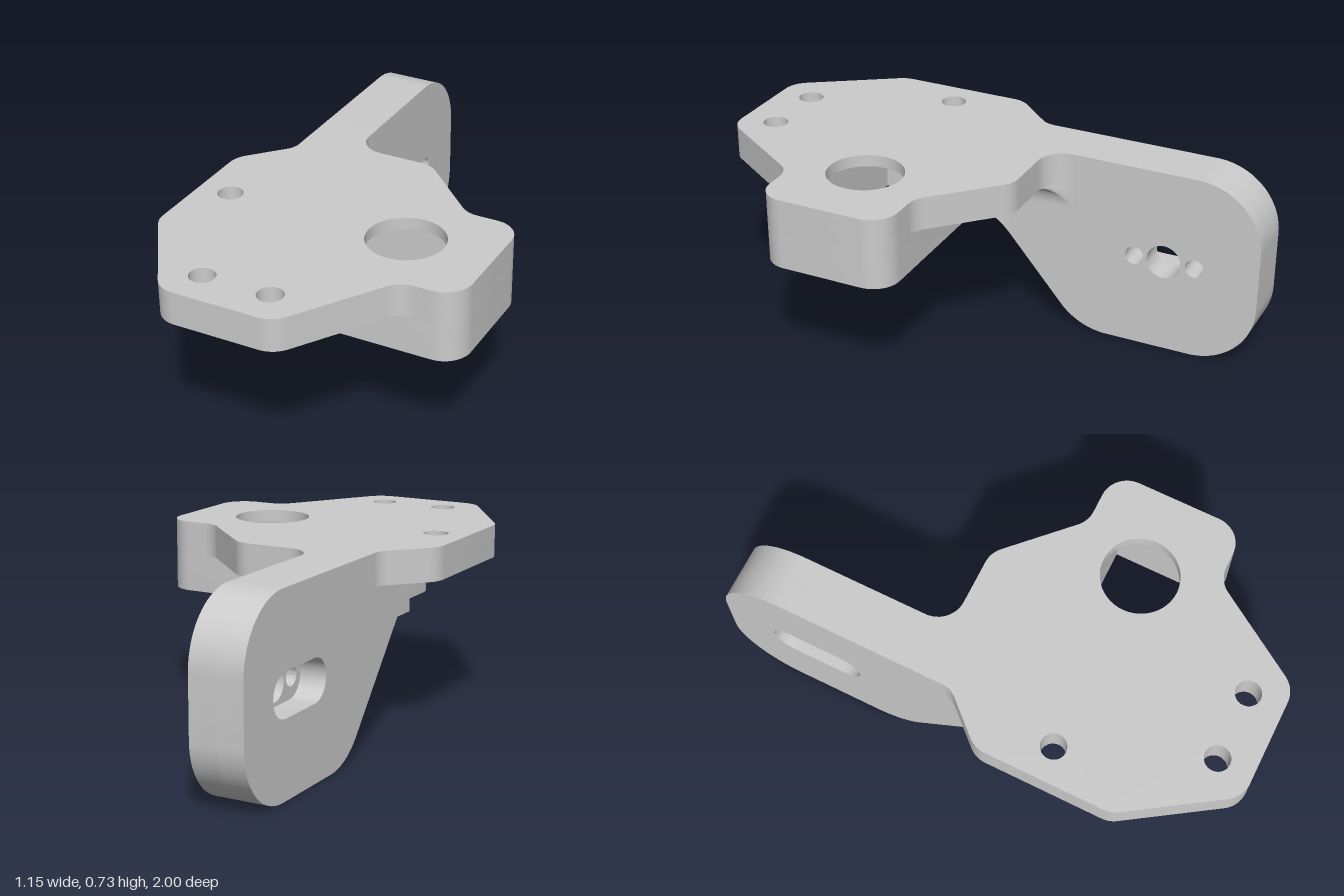
import * as THREE from 'three';
import { toCreasedNormals } from 'three/addons/utils/BufferGeometryUtils.js';

const material = new THREE.MeshStandardMaterial({ color: 0xcccccc });

// Polygon from [x, y, radius] corners, each rounded with a true arc
function rounded(corners, steps = 12) {
  const n = corners.length, pts = [];
  corners.forEach(([x, y, r = 0], i) => {
    const p = new THREE.Vector2(x, y);
    if (!r) { pts.push(p); return; }
    const a = corners[(i + n - 1) % n], b = corners[(i + 1) % n];
    const u = new THREE.Vector2(a[0], a[1]).sub(p).normalize();
    const v = new THREE.Vector2(b[0], b[1]).sub(p).normalize();
    const half = Math.acos(u.dot(v)) / 2, t = r / Math.tan(half);
    const c = u.clone().add(v).normalize().multiplyScalar(r / Math.sin(half)).add(p);
    const from = p.clone().addScaledVector(u, t).sub(c).angle();
    let turn = p.clone().addScaledVector(v, t).sub(c).angle() - from;
    if (turn > Math.PI) turn -= 2 * Math.PI;
    if (turn < -Math.PI) turn += 2 * Math.PI;
    for (let k = 0; k <= steps; k++) {
      const ang = from + turn * k / steps;
      pts.push(new THREE.Vector2(c.x + r * Math.cos(ang), c.y + r * Math.sin(ang)));
    }
  });
  return pts;
}

const circle = (x, y, r) => new THREE.Path().absarc(x, y, r, 0, Math.PI * 2, true);

function extrude(points, holes, depth) {
  const shape = new THREE.Shape(points);
  shape.holes = holes;
  return new THREE.ExtrudeGeometry(shape, { depth, bevelEnabled: false, curveSegments: 24 });
}

// Horizontal slab: outline in (x, -z), between two heights
const slab = (points, holes, y0, y1) =>
  extrude(points, holes, y1 - y0).rotateX(-Math.PI / 2).translate(0, y0, 0);

// Upright slab: outline in (-z, y), between two x positions
const upright = (points, holes, x0, x1) =>
  extrude(points, holes, x1 - x0).rotateY(Math.PI / 2).translate(x0, 0, 0);

// Move vertices by a rule
function reshape(geo, rule) {
  const pos = geo.attributes.position, v = new THREE.Vector3();
  for (let i = 0; i < pos.count; i++) {
    rule(v.fromBufferAttribute(pos, i));
    pos.setXYZ(i, v.x, v.y, v.z);
  }
  return geo;
}

// Concave fillet: drop from the wall at distance d from the corner
const R = 0.1, ARM_X = -0.215;
const cove = d => R - Math.sqrt(Math.max(0, R * R - (R - d) ** 2));
function coveSection(y, sign) {
  const flat = [], curve = [], n = 12;
  for (let k = 0; k <= n; k++) {
    const d = R * (1 - Math.cos(k / n * Math.PI / 2));
    flat.push(new THREE.Vector2(ARM_X + d, y));
    if (k < n) curve.unshift(new THREE.Vector2(ARM_X + d, y + sign * cove(d)));
  }
  return [...flat, ...curve];
}

export function createModel() {
  const model = new THREE.Group();
  const add = (name, geo) => {
    const mesh = new THREE.Mesh(toCreasedNormals(geo, 0.5), material);
    mesh.name = name;
    model.add(mesh);
  };

  // Mounting plate with three bolt holes
  const flip = list => list.map(([x, z, r]) => [x, -z, r]);
  const plate = rounded(flip([
    [-0.42, -0.27], [-0.42, -0.065, 0.08], [-0.575, 0.105, 0.1], [-0.575, 0.62, 0.1],
    [-0.325, 1, 0.1], [0.105, 1, 0.1], [0.36, 0.605, 0.1], [0.575, 0.605, 0.1],
    [0.575, 0.09, 0.1], [0.36, 0.09, 0.1], [0.095, -0.17, 0.1], [ARM_X, -0.17, 0.0999], [ARM_X, -0.27],
  ]));
  const boltHoles = () => [[-0.45, 0.345], [-0.24, 0.865], [0.02, 0.865]].map(([x, z]) => circle(x, -z, 0.047));
  const pocket = () => new THREE.Path(rounded(flip([[-0.165, 0.2], [0.395, 0.2], [0.395, 0.49], [-0.165, 0.49]])));
  add('plateTop', slab(plate, [...boltHoles(), circle(0.25, -0.345, 0.143)], 0.68, 0.725));
  add('plateBottom', slab(plate, [...boltHoles(), pocket()], 0.6, 0.68));

  // Housing under the plate, open below, with a screw hole
  const housing = rounded(flip([
    [-0.33, 0.09], [-0.33, 0.605, 0.1], [0.575, 0.605, 0.1], [0.575, 0.09, 0.1],
  ]));
  add('housing', slab(housing, [pocket(), circle(-0.23, -0.345, 0.025)], 0.455, 0.6));

  // Arm: recessed slot in the outer layer, three through holes in the inner one
  const arm = rounded([
    [1, 0.725, 0.25], [0.27, 0.725], [0.27, 0.6], [-0.19, 0.6], [-0.19, 0.455],
    [-0.09, 0.455], [0.304, 0, 0.25], [1, 0, 0.25],
  ], 20);
  const slot = new THREE.Path(rounded([
    [0.455, 0.285, 0.0799], [0.815, 0.285, 0.0799], [0.815, 0.445, 0.0799], [0.455, 0.445, 0.0799],
  ]));
  const armHoles = [circle(0.635, 0.365, 0.066), circle(0.52, 0.365, 0.036), circle(0.755, 0.365, 0.036)];
  add('armOuter', upright(arm, [slot], -0.42, -0.32));
  add('armInner', upright(arm, armHoles, -0.32, ARM_X));

  // Fillet between arm and housing, its foot following the arm's slope
  add('housingFillet', reshape(slab(coveSection(-0.09, 1), [], 0.455, 0.6), v => {
    if (v.y < 0.5) v.y = 0.455 - 1.155 * (0.09 - v.z);
  }));

  // Fillet between arm and plate underside, its end following the plate's rounded corner
  add('plateFillet', reshape(extrude(coveSection(0.6, -1), [], 0.26).translate(0, 0, -0.17), v => {
    if (v.z < 0) v.z = -0.17 - cove(v.x - ARM_X);
  }));

  return model;
}
